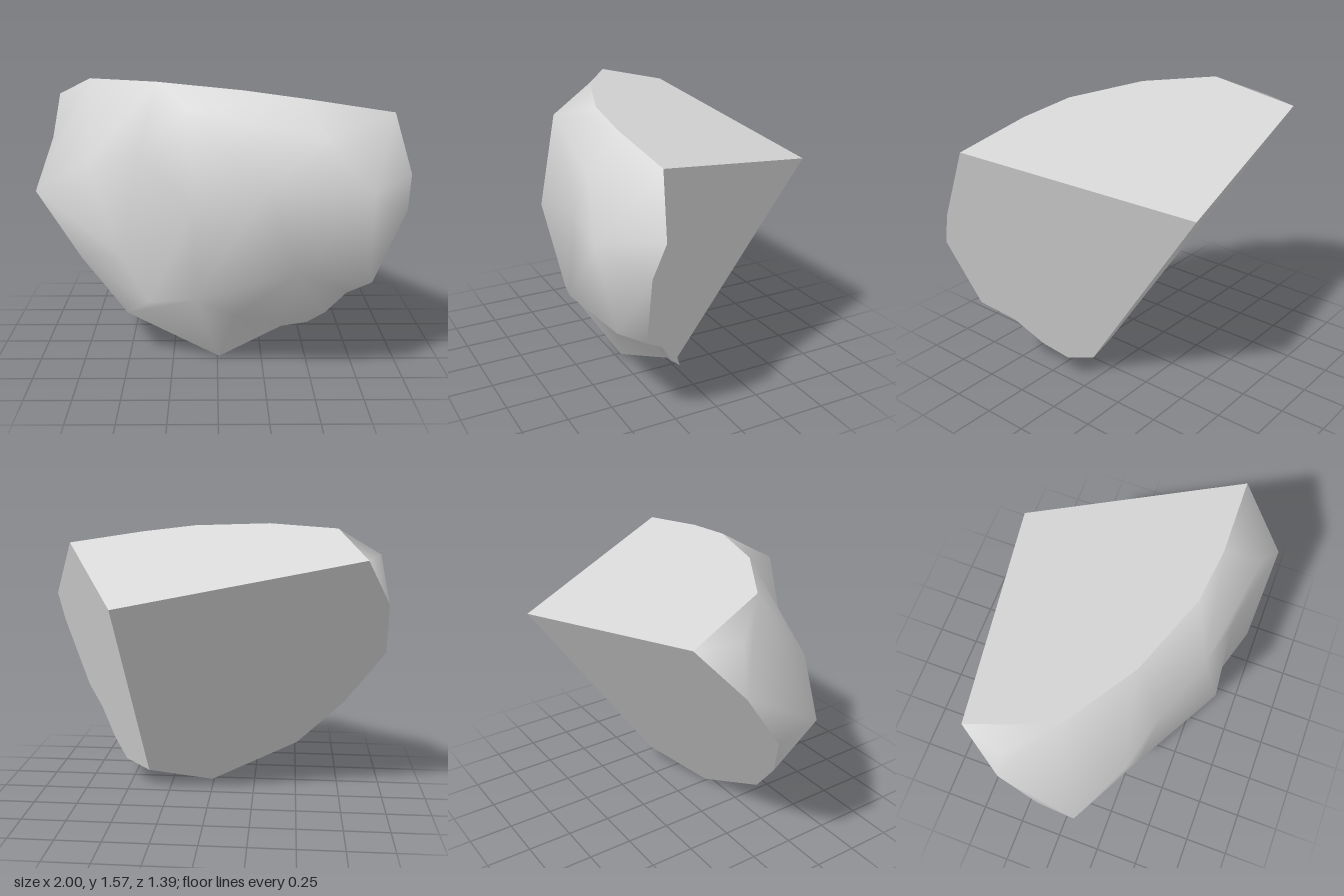
import * as THREE from 'three';

// Named corners of the stone fragment
const P = {
  // back corner and rim of the top cleavage face
  A: [0.44, 1.2, -0.7], K: [-0.83, 1.43, -0.48], T1: [-0.7, 1.555, -0.02], T2: [-0.32, 1.565, 0.23],
  T3: [0.13, 1.54, 0.39], T4: [0.45, 1.5, 0.42], B: [0.905, 1.43, 0.41],
  // rim of the side face, going down
  C: [1, 1.115, 0.44], D: [0.975, 0.94, 0.5], E: [0.82, 0.53, 0.45], F: [0.71, 0.42, 0.31],
  G: [0.61, 0.26, 0.2], H: [0.52, 0.16, 0.1], P: [0.375, 0.11, 0.04],
  // rim of the back face, going up
  Q: [0.01, 0, 0.215], p4: [-0.505, 0.26, 0.2], p3: [-0.77, 0.55, 0.085], p2: [-0.98, 0.88, -0.075],
  p1: [-0.965, 1.18, -0.27],
  // worn outer surface, upper part
  S: [-0.91, 1.44, -0.26], L: [-1, 0.955, 0.14], W1: [-0.4, 1.22, 0.39], W2: [-0.7, 1.14, 0.31],
  M1: [-0.14, 1.455, 0.52], V1: [-0.12, 0.97, 0.62], V2: [0.25, 1.05, 0.58],
  S1: [0.55, 1.33, 0.62], S2: [0.77, 1.07, 0.69],
  // worn outer surface, lower ridge and the hollow beneath it
  S3: [0.41, 0.66, 0.68], S5: [0.78, 0.6, 0.59], R: [-0.12, 0.45, 0.5], X1: [-0.52, 0.64, 0.34],
  X2: [-0.37, 0.39, 0.37], U: [0.1, 0.28, 0.3], N: [0.35, 0.17, 0.13],
};

// Each fan is a centre corner followed by its rim, counter-clockwise from outside
function fanGeometry(fans) {
  const names = [...new Set(fans.join(' ').split(' '))];
  const index = [];
  for (const fan of fans) {
    const [c, ...rim] = fan.split(' ').map((n) => names.indexOf(n));
    for (let i = 0; i < rim.length - 1; i++) index.push(c, rim[i], rim[i + 1]);
  }
  const geo = new THREE.BufferGeometry();
  geo.setAttribute('position', new THREE.Float32BufferAttribute(names.flatMap((n) => P[n]), 3));
  geo.setIndex(index);
  geo.computeVertexNormals();
  return geo;
}

// A cleavage face shares one average normal so it reads as a single flat break
function flatFace(fan) {
  const geo = fanGeometry([fan]);
  const rim = fan.split(' ').map((n) => new THREE.Vector3(...P[n]));
  const normal = new THREE.Vector3();
  rim.forEach((v, i) => normal.add(v.clone().cross(rim[(i + 1) % rim.length])));
  normal.normalize();
  const attr = geo.attributes.normal;
  for (let i = 0; i < attr.count; i++) attr.setXYZ(i, normal.x, normal.y, normal.z);
  return geo;
}

export function createModel() {
  const group = new THREE.Group();
  group.name = 'rockFragment';
  const stone = new THREE.MeshStandardMaterial({ color: 0xd8d8d8 });
  stone.name = 'paleStone';

  const add = (name, geo) => {
    const mesh = new THREE.Mesh(geo, stone);
    mesh.name = name;
    group.add(mesh);
  };

  // Three flat breaks meeting at the back corner
  add('topFace', flatFace('A K T1 T2 T3 T4 B'));
  add('sideFace', flatFace('D E F G H P A B C'));
  add('backFace', flatFace('A P Q p4 p3 p2 p1 K'));

  // Smooth, worn outer surface
  add('wornSurface', fanGeometry([
    'S T1 K p1 T1',
    'L T1 p1 p2 p3 X1 W2 T1',
    'X1 V1 W1 W2',
    'X2 p3 p4 R V1 X1 p3',
    'T2 T1 W2 W1 M1 T3',
    'M1 W1 V1 V2 S1 T4 T3',
    'S2 S1 V2 S3 S5 D C B S1',
    'S1 B T4',
    'R p4 Q',
    'V2 V1 R S3',
    'S5 S3 F E D',
    'S3 G F',
    'U R Q N S3 R',
    'N Q P H G S3',
  ]));
  return group;
}
